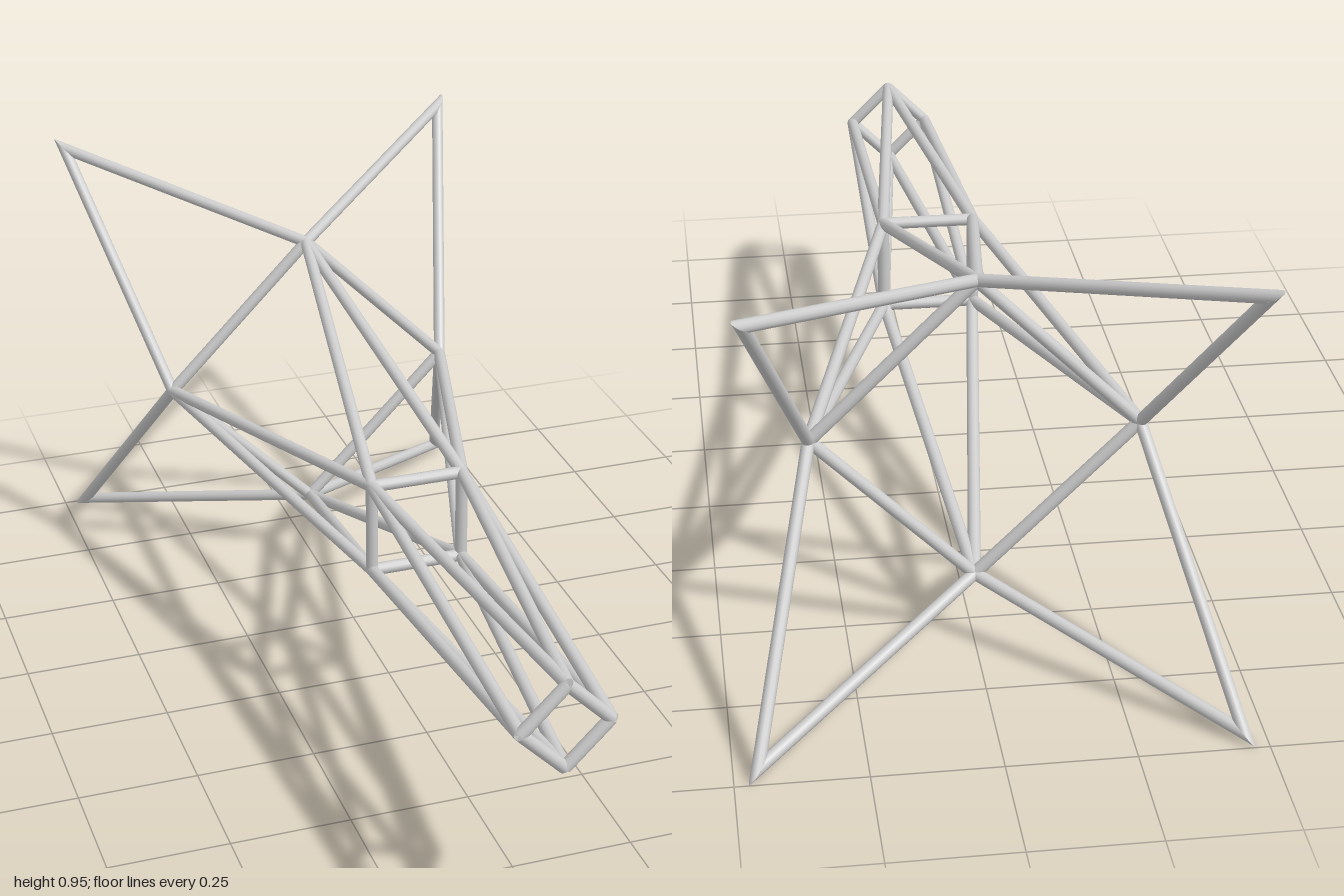
import * as THREE from 'three';

const R = 0.0128; // strut radius
const CY = 0.472; // height of the long axis

export function createModel() {
  const model = new THREE.Group();
  model.name = 'strutFrame';
  const metal = new THREE.MeshStandardMaterial({ color: 0xcccccc });
  metal.name = 'light grey metal';

  // Four points around the long axis
  const ring = (radius, z, startAngle) => Array.from({ length: 4 }, (_, i) => {
    const a = startAngle + i * Math.PI / 2;
    return new THREE.Vector3(radius * Math.cos(a), CY + radius * Math.sin(a), z);
  });

  // Round bar from a to b; mitreNormal cuts the end at b along a plane through b
  function strut(name, a, b, mitreNormal) {
    const dir = b.clone().sub(a);
    const length = dir.length();
    dir.normalize();
    const geo = new THREE.CylinderGeometry(R, R, length, 12);
    geo.applyQuaternion(new THREE.Quaternion().setFromUnitVectors(new THREE.Vector3(0, 1, 0), dir));
    geo.translate((a.x + b.x) / 2, (a.y + b.y) / 2, (a.z + b.z) / 2);
    if (mitreNormal) {
      const pos = geo.attributes.position;
      const p = new THREE.Vector3();
      for (let i = 0; i < pos.count; i++) {
        p.fromBufferAttribute(pos, i);
        if (p.distanceTo(b) > length / 2) continue;
        const t = b.clone().sub(p).dot(mitreNormal) / dir.dot(mitreNormal);
        p.addScaledVector(dir, t);
        pos.setXYZ(i, p.x, p.y, p.z);
      }
    }
    const mesh = new THREE.Mesh(geo, metal);
    mesh.name = name;
    model.add(mesh);
  }

  const nose = ring(0.088, 0.987, 0);
  const waist = ring(0.097 * Math.SQRT2, 0.18, Math.PI / 4);
  const tail = ring(0.32, -0.575, 0);
  const tips = ring(0.454 * Math.SQRT2, -0.975, Math.PI / 4);

  for (let i = 0; i < 4; i++) {
    const j = (i + 1) % 4;
    // Cross frames
    strut('noseFrame', nose[i], nose[j]);
    strut('waistFrame', waist[i], waist[j]);
    strut('tailFrame', tail[i], tail[j]);
    // Each waist corner joins the two neighbouring points fore and aft
    const mitre = tail[i].clone().sub(tail[j]).normalize();
    for (const k of [i, j]) {
      strut('noseRail', waist[i], nose[k]);
      strut('tailRail', waist[i], tail[k]);
      // Pointed fins
      strut('finStrut', tail[k], tips[i], mitre);
    }
  }
  return model;
}
